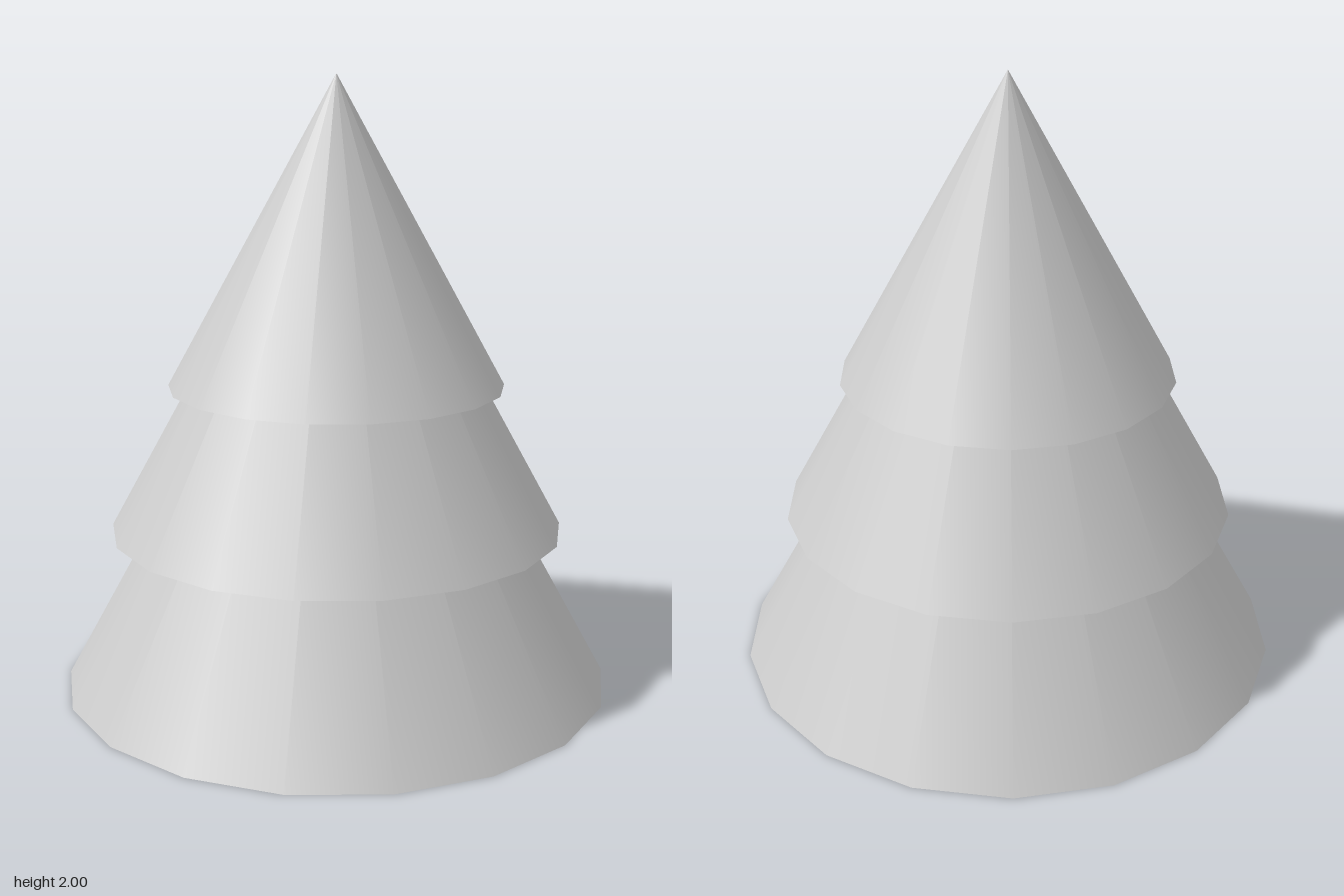
import * as THREE from 'three';

const SIDES = 18;
const SLOPE = 0.55; // radius per unit of height, shared by all tiers

export function createModel() {
  const tree = new THREE.Group();
  tree.name = 'coniferTree';
  const material = new THREE.MeshStandardMaterial({ color: 0xcccccc });

  // Nested cones of one proportion, stacked from the ground up
  const tiers = [
    { name: 'lowerTier', radius: 0.905, base: 0 },
    { name: 'middleTier', radius: 0.745, base: 0.525 },
    { name: 'topTier', radius: 0.55, base: 1 },
  ];
  for (const { name, radius, base } of tiers) {
    const height = radius / SLOPE;
    // Half-step turn puts a corner on the x axis and a flat side to the front
    const geometry = new THREE.ConeGeometry(radius, height, SIDES, 1, false, Math.PI / SIDES);
    const tier = new THREE.Mesh(geometry, material);
    tier.name = name;
    tier.position.y = base + height / 2;
    tree.add(tier);
  }
  return tree;
}
